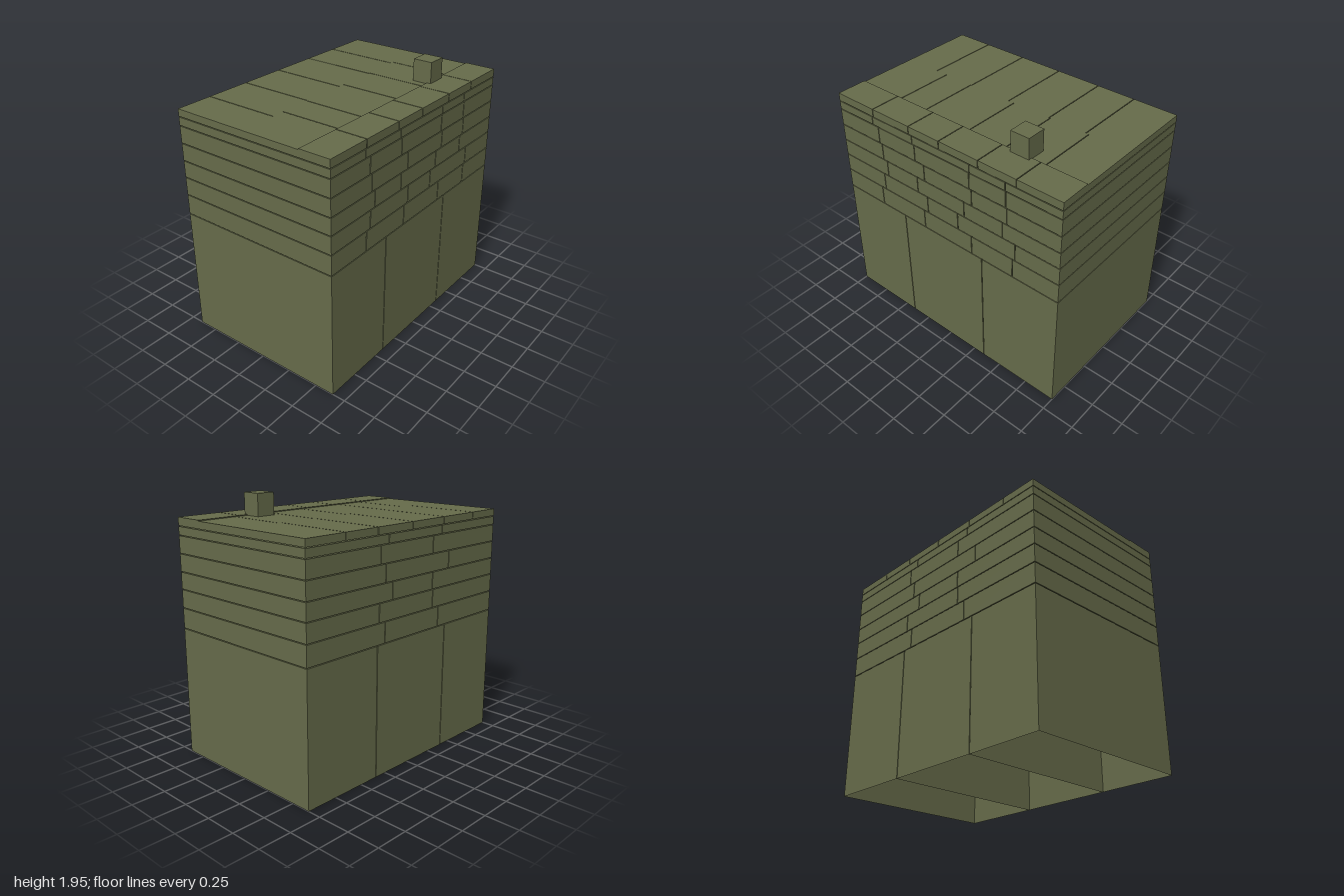
import * as THREE from 'three';

const GAP = 0.006;

export function createModel() {
  const model = new THREE.Group();
  const olive = new THREE.MeshStandardMaterial({ color: 0x666b4a, side: THREE.DoubleSide });
  olive.name = 'olive';

  // One block between two corners; open blocks have no underside
  function block(parent, name, x0, x1, y0, y1, z0, z1, open = false) {
    const geo = new THREE.BoxGeometry(x1 - x0, y1 - y0, z1 - z0);
    if (open) {
      const index = Array.from(geo.index.array);
      index.splice(18, 6); // faces run +x -x +y -y +z -z
      geo.setIndex(index);
      geo.clearGroups();
    }
    const mesh = new THREE.Mesh(geo, olive);
    mesh.name = name;
    mesh.position.set((x0 + x1) / 2, (y0 + y1) / 2, (z0 + z1) / 2);
    parent.add(mesh);
  }

  // A row of blocks across the full width, divided by thin gaps
  function row(name, splits, y0, y1, z0, z1, open) {
    const group = new THREE.Group();
    group.name = name + 'Row';
    const cuts = [-1 - GAP / 2, ...splits, 1 + GAP / 2];
    for (let i = 0; i < cuts.length - 1; i++) {
      block(group, name, cuts[i] + GAP / 2, cuts[i + 1] - GAP / 2, y0, y1, z0, z1, open);
    }
    model.add(group);
  }

  // Tall hollow blocks at the bottom
  row('baseBlock', [-0.405, 0.345], 0, 0.972, -0.65, 0.65, true);

  // Brick courses: bottom, top, front joints, back joints
  const courses = [
    [0.978, 1.126, [-0.633, -0.195, 0.255, 0.618], [-0.32, 0.27]],
    [1.132, 1.264, [-0.592, -0.153, 0.133, 0.64], [-0.25, 0.33]],
    [1.27, 1.393, [-0.545, -0.243, 0.196, 0.533], [-0.243, 0.196]],
    [1.399, 1.525, [-0.58, -0.168, 0.268, 0.57], [-0.43, 0.268]],
    [1.531, 1.655, [-0.602, -0.248, 0.25, 0.56], [-0.24, 0.32]],
    [1.661, 1.721, [-0.655, -0.265, 0.255, 0.555], [-0.34, 0.24]],
  ];
  for (const [y0, y1, front, back] of courses) {
    row('frontBrick', front, y0, y1, 0, 0.65);
    row('backBrick', back, y0, y1, -0.65, 0);
  }

  // Top planks in three strips, the front strip slightly raised
  row('backPlank', [-0.712, -0.36, -0.007, 0.35, 0.655], 1.727, 1.78, -0.65, -0.058);
  row('middlePlank', [-0.612, -0.366, 0.041, 0.36, 0.68], 1.727, 1.78, -0.058, 0.408);
  row('frontPlank', [-0.642, -0.293, -0.012, 0.33, 0.645], 1.727, 1.787, 0.408, 0.65);

  // Small cube on top
  block(model, 'topBlock', 0.422, 0.572, 1.78, 1.945, 0.29, 0.44);

  return model;
}
